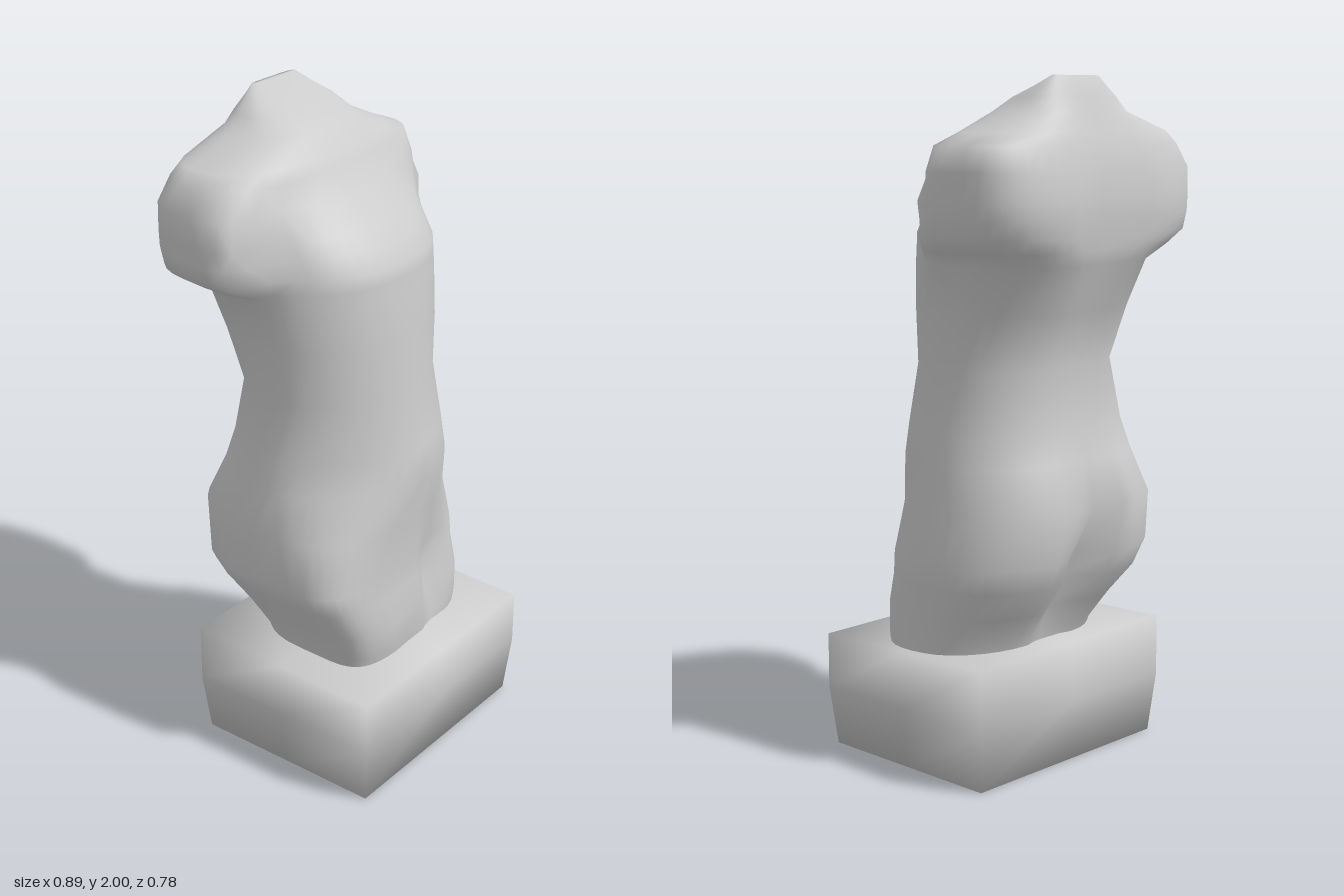
import * as THREE from 'three';
import { mergeVertices } from 'three/addons/utils/BufferGeometryUtils.js';

const SIDES = 40;
const CENTRE = 0.03;

const hill = (v, mid, width) => Math.exp(-(((v - mid) / width) ** 2));

// Squareness of each quarter of the body by height:
// [y, frontLeft, frontRight, backLeft, backRight]
const SQUARENESS = [
  [0.3, 2.3, 5, 2.4, 2.8],
  [0.6, 2.3, 5, 2.4, 2.8],
  [0.9, 1.8, 1.7, 2.4, 2.6],
  [1.2, 1.8, 2, 2.4, 2.4],
  [1.48, 2.2, 2.2, 2.5, 2.5],
  [1.58, 2.3, 2.3, 3.5, 3.5],
  [1.8, 2.4, 2.4, 3.2, 3.2],
  [2.0, 2.4, 2.4, 2.4, 2.4],
];

function squareness(y, quarter) {
  const j = SQUARENESS.findIndex((row) => row[0] >= y);
  const a = SQUARENESS[j - 1], b = SQUARENESS[j];
  return THREE.MathUtils.mapLinear(y, a[0], b[0], a[quarter], b[quarter]);
}

// Soft anatomy: cleft and spine behind, groove between the thighs in front
function anatomy(p, facing) {
  if (facing < 0) {
    p.z -= facing * (0.1 * hill(p.x, CENTRE, 0.07) * hill(p.y, 0.58, 0.2)
      + 0.03 * hill(p.x, CENTRE, 0.08) * hill(p.y, 1.55, 0.3));
  } else {
    p.z -= facing * 0.07 * hill(p.x, 0.14, 0.07) * hill(p.y, 0.52, 0.15);
  }
}

// Lofts rings [y, xMin, xMax, zFront, zBack, shoulderLeft, shoulderRight] upwards;
// the last two widen only the rear of the ring, which forms the arm stubs.
function loft(rings) {
  const pos = [], index = [], n = SIDES;
  for (const [y, x0, x1, zf, zb, left = 0, right = 0] of rings) {
    for (let i = 0; i < n; i++) {
      const a = (i / n) * Math.PI * 2;
      const s = Math.sin(a), c = Math.cos(a);
      const power = 2 / squareness(y, 1 + (s < 0 ? 1 : 0) + (c < 0 ? 2 : 0));
      const side = Math.sign(s) * Math.abs(s) ** power;
      const depth = Math.sign(c) * Math.abs(c) ** power;
      const p = new THREE.Vector3(
        (x0 + x1) / 2 + (side * (x1 - x0)) / 2, y,
        (zf + zb) / 2 + (depth * (zf - zb)) / 2);
      const rear = 1 - THREE.MathUtils.smoothstep(p.z, -0.03, 0.05);
      p.x += side * rear * (side > 0 ? left : right);
      anatomy(p, c);
      pos.push(p.x, p.y, p.z);
    }
  }
  for (let j = 0; j < rings.length - 1; j++) {
    for (let i = 0; i < n; i++) {
      const a = j * n + i, b = j * n + ((i + 1) % n);
      index.push(a, b, b + n, a, b + n, a + n);
    }
  }
  // cap over the cut neck
  const last = rings.length - 1;
  const [y, x0, x1, zf, zb] = rings[last];
  const tip = pos.length / 3;
  pos.push((x0 + x1) / 2, y, (zf + zb) / 2);
  for (let i = 0; i < n; i++) index.push(last * n + i, last * n + ((i + 1) % n), tip);

  const g = new THREE.BufferGeometry();
  g.setAttribute('position', new THREE.Float32BufferAttribute(pos, 3));
  g.setIndex(index);
  g.computeVertexNormals();
  return g;
}

// Softly shaded block, narrower at the foot, its top falling a little to the front
function plinthGeometry() {
  const box = new THREE.BoxGeometry(0.78, 0.36, 0.64, 2, 2, 2);
  box.deleteAttribute('normal');
  box.deleteAttribute('uv');
  const g = mergeVertices(box);
  const p = g.attributes.position;
  for (let i = 0; i < p.count; i++) {
    const x = p.getX(i), y = p.getY(i), z = p.getZ(i);
    const k = y < -0.1 ? 0.95 : 1;
    const top = y > 0.1 ? 0.355 - z * 0.03 : y + 0.18;
    p.setXYZ(i, CENTRE + x * k, top, 0.07 + z * k);
  }
  g.computeVertexNormals();
  return g;
}

export function createModel() {
  const group = new THREE.Group();
  const material = new THREE.MeshStandardMaterial({ color: 0xcccccc });
  const add = (name, geometry) => {
    const mesh = new THREE.Mesh(geometry, material);
    mesh.name = name;
    group.add(mesh);
  };

  add('plinth', plinthGeometry());

  // Torso in one skin: cut thighs, hips, waist, chest, arm stubs and cut neck
  add('torso', loft([
    [0.32, -0.24, 0.39, 0.28, -0.16],
    [0.38, -0.25, 0.39, 0.295, -0.18],
    [0.47, -0.29, 0.395, 0.305, -0.24],
    [0.56, -0.335, 0.405, 0.29, -0.31],
    [0.63, -0.37, 0.415, 0.285, -0.33],
    [0.78, -0.355, 0.39, 0.285, -0.355],
    [0.91, -0.335, 0.37, 0.31, -0.295],
    [1.0, -0.305, 0.36, 0.29, -0.275],
    [1.18, -0.28, 0.33, 0.26, -0.245],
    [1.34, -0.295, 0.345, 0.25, -0.305],
    [1.48, -0.31, 0.36, 0.23, -0.37],
    [1.52, -0.31, 0.36, 0.225, -0.38, 0.05, 0.08],
    [1.56, -0.31, 0.36, 0.22, -0.385, 0.07, 0.14],
    [1.61, -0.31, 0.36, 0.185, -0.39, 0.08, 0.14],
    [1.66, -0.31, 0.36, 0.15, -0.39, 0.085, 0.14],
    [1.74, -0.31, 0.36, 0.075, -0.38, 0.085, 0.14],
    [1.81, -0.28, 0.34, 0.03, -0.357, 0.1, 0.13],
    [1.845, -0.26, 0.30, 0.01, -0.343, 0.05, 0.11],
    [1.9, -0.19, 0.235, -0.04, -0.32],
    [1.94, -0.145, 0.205, -0.11, -0.305],
    [1.97, -0.10, 0.17, -0.18, -0.29],
    [2.0, -0.05, 0.14, -0.25, -0.275],
  ]));

  return group;
}
